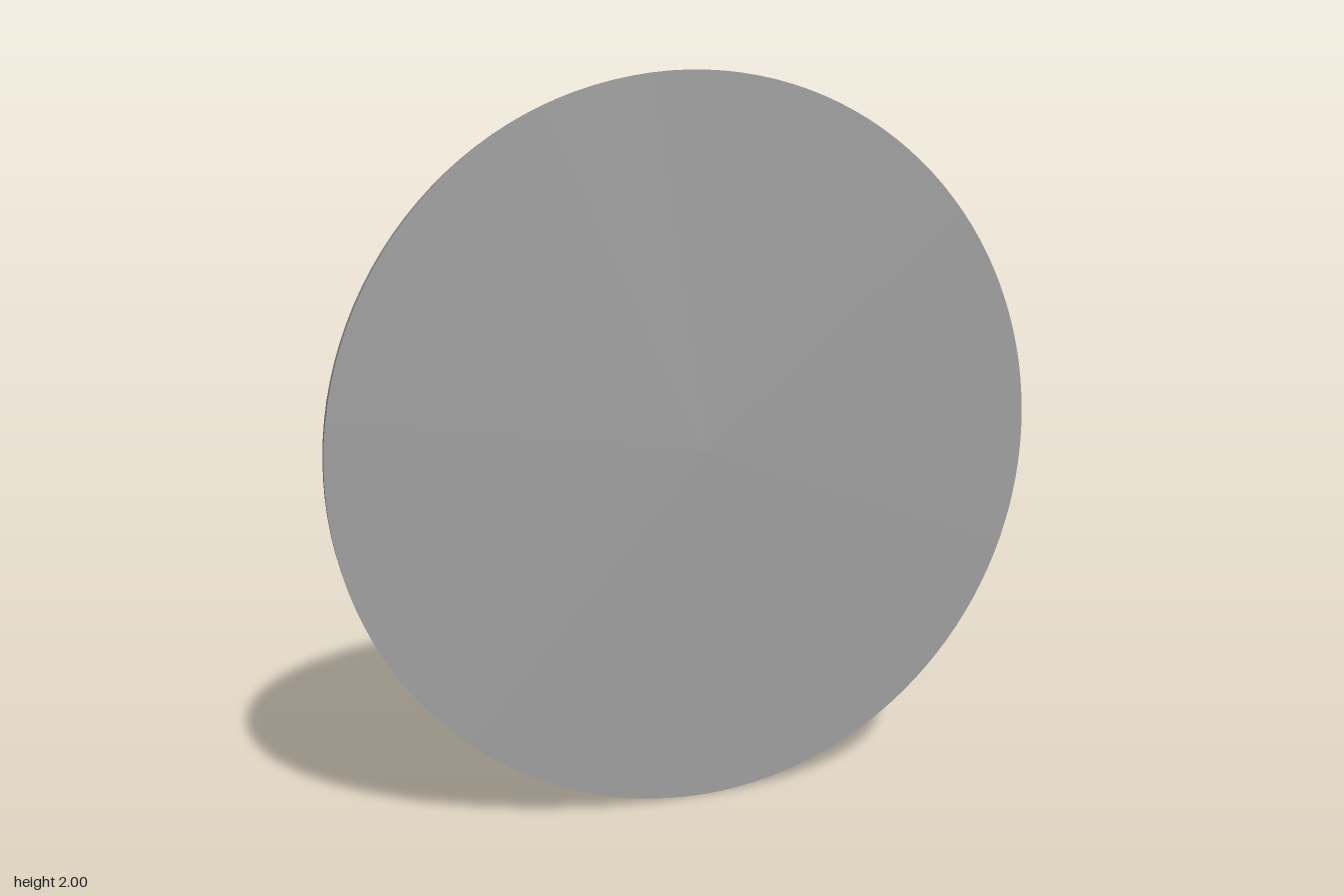
import * as THREE from 'three';

export function createModel() {
  const model = new THREE.Group();
  model.name = 'brakeDisc';
  const steel = new THREE.MeshStandardMaterial({ color: 0xa0a0a0 });
  steel.name = 'grey steel';

  // Round plate lying along z between two depths
  function plate(name, radius, zBack, zFront, x = 0, y = 1, sides = 128) {
    const geometry = new THREE.CylinderGeometry(radius, radius, zFront - zBack, sides);
    geometry.rotateX(Math.PI / 2);
    const mesh = new THREE.Mesh(geometry, steel);
    mesh.name = name;
    mesh.position.set(x, y, (zFront + zBack) / 2);
    model.add(mesh);
  }

  // Stepped disc, from the front face to the hub at the back
  plate('disc', 1, 0, 0.03);
  plate('mountingFace', 0.79, -0.011, 0.001);
  plate('hub', 0.275, -0.03, -0.01);

  // Five studs around the hub
  for (let i = 0; i < 5; i++) {
    const a = (i / 5) * Math.PI * 2;
    plate('stud' + (i + 1), 0.032, -0.022, -0.01, 0.45 * Math.cos(a), 1 + 0.45 * Math.sin(a), 32);
  }
  return model;
}
